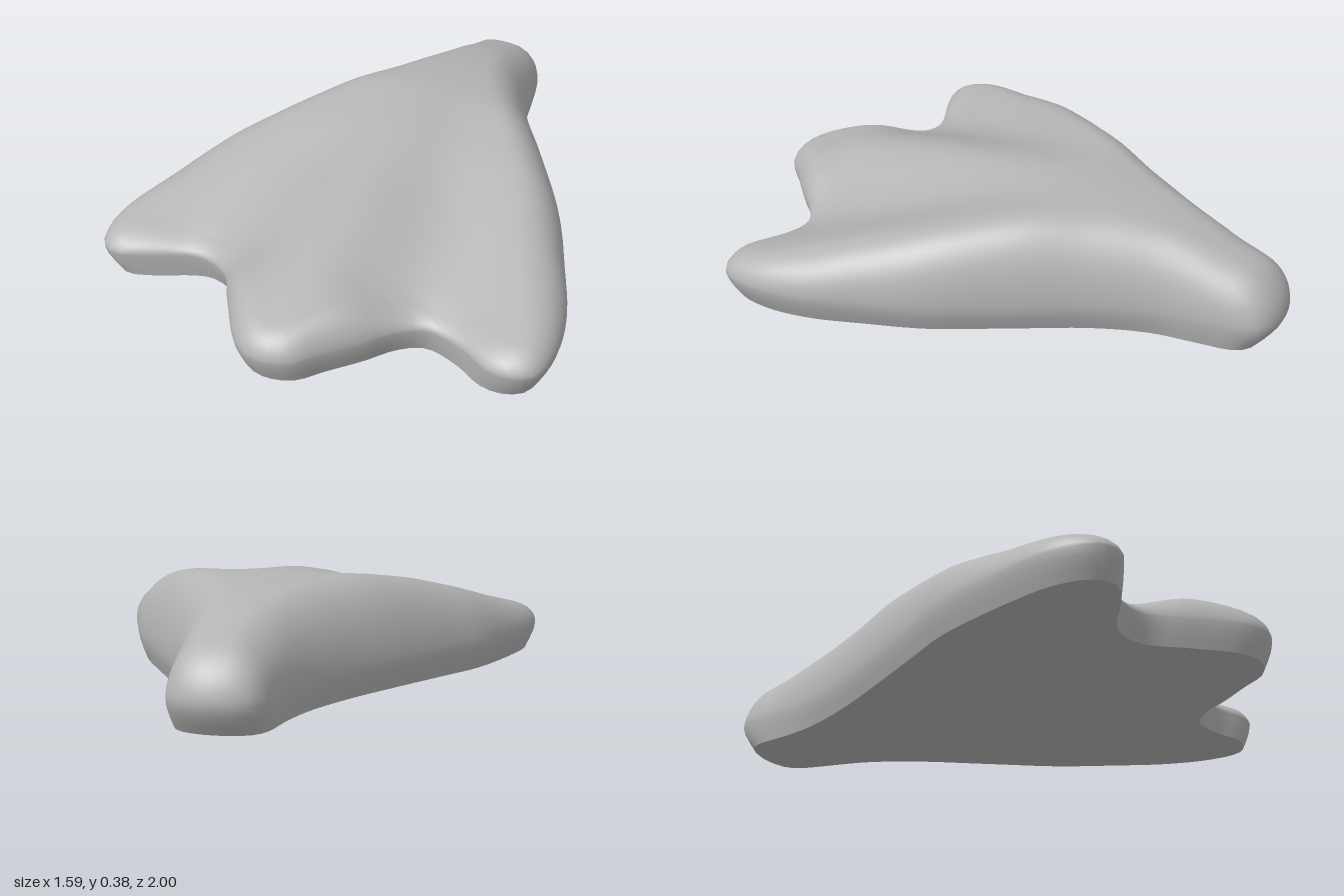
import * as THREE from 'three';

// Plan outline [x, z], from the middle toe tip round the left side to the heel and back
const OUTLINE = [
  [-0.01, 0.995], [0.09, 0.97], [0.16, 0.89], [0.25, 0.79], [0.32, 0.7], [0.40, 0.65], [0.53, 0.68], [0.63, 0.73],
  [0.71, 0.73], [0.77, 0.69], [0.79, 0.57], [0.76, 0.4], [0.68, 0.2], [0.59, 0], [0.44, -0.24], [0.29, -0.48],
  [0.21, -0.66], [0.175, -0.82], [0.15, -0.93], [0.12, -0.975], [0.05, -1], [-0.03, -1], [-0.115, -0.97], [-0.145, -0.92],
  [-0.165, -0.8], [-0.2, -0.66], [-0.29, -0.46], [-0.43, -0.22], [-0.565, 0], [-0.65, 0.14], [-0.745, 0.39], [-0.795, 0.59],
  [-0.785, 0.69], [-0.755, 0.74], [-0.7, 0.76], [-0.62, 0.735], [-0.43, 0.655], [-0.31, 0.695], [-0.23, 0.8], [-0.09, 0.965],
];
// Height rules along z: [z, value]
const CENTRE_Y = [[-1, 0.2], [-0.93, 0.245], [-0.68, 0.33], [-0.48, 0.367], [-0.24, 0.385], [0, 0.365], [0.4, 0.3], [0.7, 0.235], [0.93, 0.172], [1, 0.15]];
const RIDGE_X = [[-1, 0.12], [-0.6, 0.16], [-0.25, 0.27], [0, 0.4], [0.2, 0.51], [0.4, 0.63], [0.6, 0.71], [0.75, 0.73]];
const RIDGE_Y = [[-1, 0.2], [-0.93, 0.24], [-0.68, 0.325], [-0.48, 0.36], [-0.22, 0.378], [0, 0.34], [0.2, 0.285], [0.4, 0.23], [0.6, 0.175], [0.75, 0.135]];
const WEB_DIP = [[-0.25, 0], [0, 0.015], [0.3, 0.045], [0.5, 0.065], [0.65, 0.08], [0.8, 0]];
const ROUNDING = [[-1, 0.09], [-0.8, 0.14], [-0.4, 0.17], [0.4, 0.16], [0.65, 0.08], [1, 0.07]];

const EDGE_Y = 0.09;
const MID_Z = 0.2;
const SEGMENTS = 160;
const RINGS = 28;

function lookup(table, z) {
  if (z <= table[0][0]) return table[0][1];
  for (let i = 1; i < table.length; i++) {
    const [z0, v0] = table[i - 1], [z1, v1] = table[i];
    if (z <= z1) return v0 + ((v1 - v0) * (z - z0)) / (z1 - z0);
  }
  return table[table.length - 1][1];
}

// Average of nearby values, so the ridges run smoothly
function smooth(table, z) {
  return (lookup(table, z - 0.06) + 2 * lookup(table, z) + lookup(table, z + 0.06)) / 4;
}

// Middle ridge, two side ridges and the webs sagging between them
function topHeight(x, z) {
  const t = Math.min(1, Math.abs(x) / smooth(RIDGE_X, z));
  const blend = t * t * (3 - 2 * t);
  const c = smooth(CENTRE_Y, z), r = smooth(RIDGE_Y, z);
  return c + (r - c) * blend - smooth(WEB_DIP, z) * Math.sin(Math.PI * t) ** 2;
}

function edgeDistance(x, z, loop) {
  let best = Infinity;
  for (let i = 0; i < loop.length; i++) {
    const a = loop[i], b = loop[(i + 1) % loop.length];
    const dx = b.x - a.x, dz = b.z - a.z;
    const t = THREE.MathUtils.clamp(((x - a.x) * dx + (z - a.z) * dz) / (dx * dx + dz * dz), 0, 1);
    best = Math.min(best, Math.hypot(x - a.x - t * dx, z - a.z - t * dz));
  }
  return best;
}

function makeGeometry(positions, index) {
  const g = new THREE.BufferGeometry();
  g.setAttribute('position', new THREE.Float32BufferAttribute(positions, 3));
  g.setIndex(index);
  g.computeVertexNormals();
  return g;
}

export function createModel() {
  const group = new THREE.Group();
  group.name = 'webbedFoot';
  const grey = new THREE.MeshStandardMaterial({ color: 0xb4b4b4 });
  grey.name = 'grey';

  const curve = new THREE.CatmullRomCurve3(OUTLINE.map(([x, z]) => new THREE.Vector3(x, 0, z)), true);
  const loop = curve.getSpacedPoints(SEGMENTS).slice(0, SEGMENTS);

  // Concentric rings: up the rim, then inward over the domed top
  const positions = [], index = [];
  const addRing = (scale, height) => {
    for (const p of loop) {
      const x = p.x * scale, z = MID_Z + (p.z - MID_Z) * scale;
      positions.push(x, height(x, z), z);
    }
  };
  addRing(0.957, () => 0);
  addRing(0.975, () => 0.03);
  addRing(0.992, () => 0.062);
  for (let k = 0; k < RINGS; k++) {
    addRing(1 - (k / RINGS) ** 2, (x, z) => {
      const d = Math.min(1, edgeDistance(x, z, loop) / lookup(ROUNDING, z));
      return EDGE_Y + (topHeight(x, z) - EDGE_Y) * Math.sqrt(1 - (1 - d) ** 2);
    });
  }
  const ringCount = RINGS + 3;
  for (let k = 0; k < ringCount - 1; k++) {
    for (let i = 0; i < SEGMENTS; i++) {
      const j = (i + 1) % SEGMENTS;
      const a = k * SEGMENTS + i, b = k * SEGMENTS + j;
      index.push(a, b, a + SEGMENTS, b, b + SEGMENTS, a + SEGMENTS);
    }
  }
  const last = (ringCount - 1) * SEGMENTS, apex = ringCount * SEGMENTS;
  positions.push(0, topHeight(0, MID_Z), MID_Z);
  for (let i = 0; i < SEGMENTS; i++) index.push(last + i, last + ((i + 1) % SEGMENTS), apex);
  const upper = new THREE.Mesh(makeGeometry(positions, index), grey);
  upper.name = 'footTop';

  // Flat underside with a sharp edge
  const solePositions = [...positions.slice(0, SEGMENTS * 3), 0, 0, MID_Z], soleIndex = [];
  for (let i = 0; i < SEGMENTS; i++) soleIndex.push((i + 1) % SEGMENTS, i, SEGMENTS);
  const sole = new THREE.Mesh(makeGeometry(solePositions, soleIndex), grey);
  sole.name = 'sole';

  group.add(upper, sole);
  return group;
}
